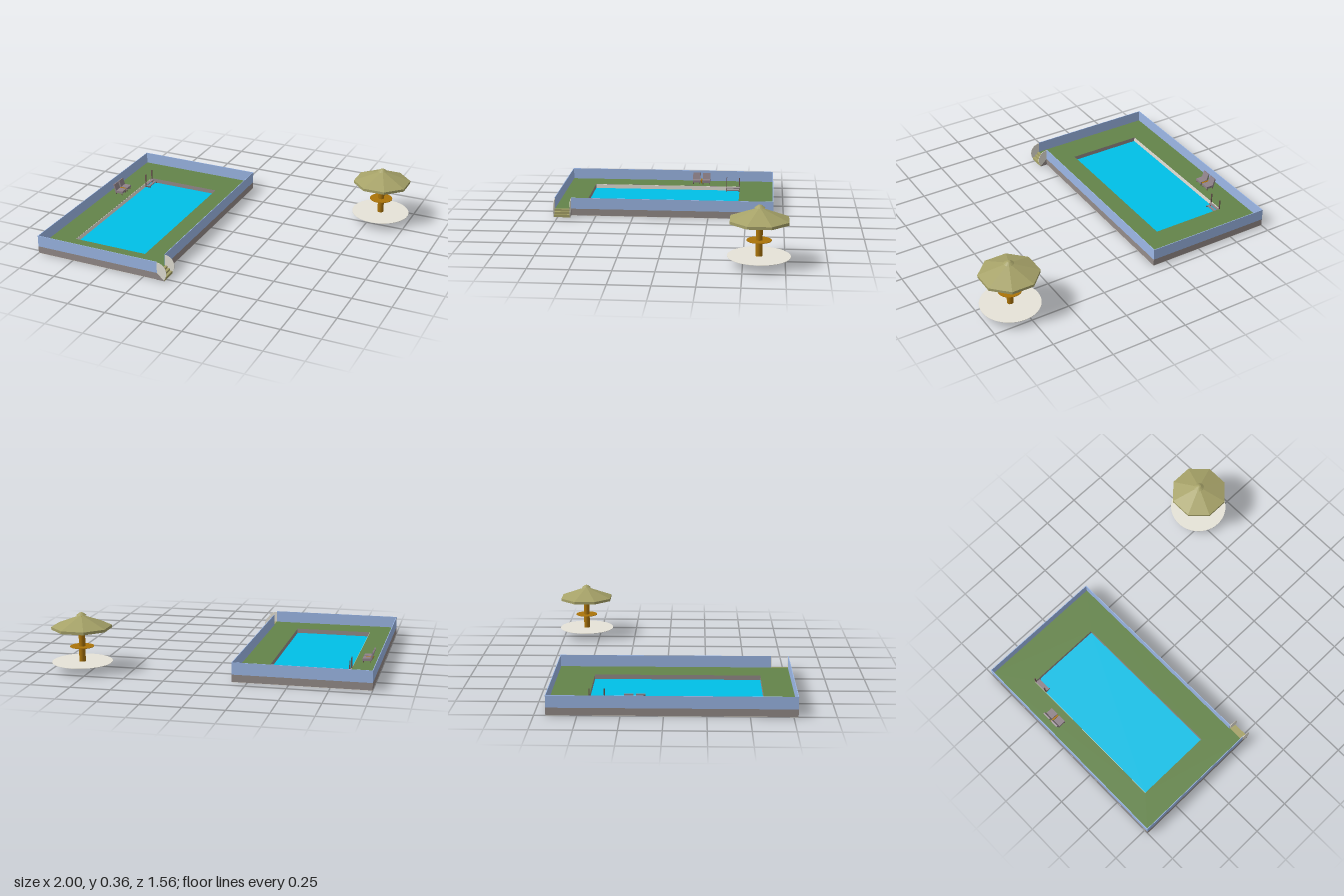
import * as THREE from 'three';

const mat = (name, color, extra = {}) => {
  const m = new THREE.MeshStandardMaterial({ color, ...extra });
  m.name = name;
  return m;
};

export function createModel() {
  const root = new THREE.Group();
  root.name = 'poolTerrace';
  const stone = mat('stone', 0x958c8a);
  const grass = mat('grass', 0x64844a);
  const water = mat('water', 0x00c0e8);
  const wallBlue = mat('wallBlue', 0x9db9e8);
  const pale = mat('paleStone', 0xe6e3d8, { side: THREE.DoubleSide });
  const olive = mat('olive', 0xa6a268, { side: THREE.DoubleSide, flatShading: true });
  const wood = mat('wood', 0xab7408);
  const seatGrey = mat('seatGrey', 0x8f8289);
  const railBrown = mat('railBrown', 0x6e5652);

  const add = (name, geo, material, parent = root) => {
    const m = new THREE.Mesh(geo, material);
    m.name = name;
    parent.add(m);
    return m;
  };
  // Box given by its limits on each axis
  const box = (name, material, [x0, x1], [y0, y1], [z0, z1], parent) => {
    const g = new THREE.BoxGeometry(x1 - x0, y1 - y0, z1 - z0);
    g.translate((x0 + x1) / 2, (y0 + y1) / 2, (z0 + z1) / 2);
    return add(name, g, material, parent);
  };

  const X0 = -1, X1 = -0.155, Z0 = -0.682, Z1 = 0.777, DECK = 0.047, TOP = 0.122;
  const PX0 = -0.838, PX1 = -0.337, PZ0 = -0.446, PZ1 = 0.589;

  // Platform: grass top with the basin cut out, stone sides, pale floor slab
  const rect = (P, x0, x1, z0, z1) => {
    const p = new P();
    p.moveTo(x0, z0); p.lineTo(x1, z0); p.lineTo(x1, z1); p.lineTo(x0, z1); p.closePath();
    return p;
  };
  const deck = rect(THREE.Shape, X0, X1, Z0, Z1);
  deck.holes.push(rect(THREE.Path, PX0, PX1, PZ0, PZ1));
  const deckGeo = new THREE.ExtrudeGeometry(deck, { depth: DECK - 0.002, bevelEnabled: false });
  deckGeo.rotateX(Math.PI / 2).translate(0, DECK, 0);
  add('lawnDeck', deckGeo, [grass, stone]);
  box('platformFloor', pale, [X0, X1], [0, 0.002], [Z0, Z1]);
  box('water', water, [PX0, PX1], [0.012, 0.018], [PZ0, PZ1]);
  box('basinLiner', pale, [PX0, PX0 + 0.002], [0.018, DECK - 0.001], [PZ0, PZ1]);

  // Boundary walls, with a gap for the entrance steps
  const T = 0.004, GATE = 0.665;
  box('rightWall', wallBlue, [X0, X0 + T], [DECK, TOP], [Z0, Z1]);
  box('leftWall', wallBlue, [X1 - T, X1], [DECK, TOP], [Z0, GATE]);
  box('frontWall', wallBlue, [X0 + T, X1], [DECK, TOP], [Z1 - T, Z1]);
  box('backWall', wallBlue, [X0 + T, X1 - T], [DECK, TOP], [Z0, Z0 + T]);

  // Entrance steps between two rounded cheeks
  const steps = new THREE.Group();
  steps.name = 'entranceSteps';
  root.add(steps);
  for (let i = 0; i < 3; i++) {
    box('step', olive, [X1 + i * 0.0165, X1 + (i + 1) * 0.0165], [0, 0.046 - i * 0.014], [GATE + 0.003, Z1 - 0.003], steps);
  }
  const cheek = new THREE.Shape();
  cheek.moveTo(X1, DECK);
  cheek.lineTo(-0.108, 0.004);
  cheek.bezierCurveTo(-0.078, 0.045, -0.088, 0.113, X1, 0.118);
  cheek.closePath();
  const foot = new THREE.Shape();
  foot.moveTo(X1, 0); foot.lineTo(-0.106, 0); foot.lineTo(-0.108, 0.004); foot.lineTo(X1, DECK); foot.closePath();
  for (const z of [GATE, Z1 - 0.003]) {
    for (const [name, shape, m] of [['stepCheek', cheek, pale], ['stepStringer', foot, stone]]) {
      const g = new THREE.ExtrudeGeometry(shape, { depth: 0.003, bevelEnabled: false, curveSegments: 16 });
      add(name, g.translate(0, 0, z), m, steps);
    }
  }

  // Pool ladder: two posts with feet, and two treads
  const ladder = new THREE.Group();
  ladder.name = 'poolLadder';
  root.add(ladder);
  for (const z of [-0.442, -0.352]) {
    box('ladderPost', railBrown, [-0.837, -0.83], [0.018, 0.112], [z - 0.003, z + 0.003], ladder);
    box('ladderFoot', railBrown, [-0.83, -0.795], [0.02, 0.026], [z - 0.003, z + 0.003], ladder);
  }
  box('upperTread', seatGrey, [-0.834, -0.818], [0.036, 0.042], [-0.442, -0.352], ladder);
  box('lowerTread', seatGrey, [-0.818, -0.802], [0.024, 0.03], [-0.442, -0.352], ladder);

  // Two lounge chairs with a small table between them
  for (const z of [-0.2025, -0.1325]) {
    const chair = new THREE.Group();
    chair.name = 'chair';
    chair.position.set(-0.92, DECK, z);
    root.add(chair);
    box('seat', seatGrey, [-0.02, 0.035], [0.012, 0.028], [-0.027, 0.027], chair);
    const back = box('backrest', seatGrey, [-0.005, 0.005], [0, 0.052], [-0.027, 0.027], chair);
    back.position.set(-0.015, 0.02, 0);
    back.rotation.z = 0.3;
    for (const x of [-0.018, 0.028]) for (const s of [-0.025, 0.02]) {
      box('chairLeg', railBrown, [x, x + 0.005], [0, 0.012], [s, s + 0.005], chair);
    }
  }
  box('sideTableTop', wood, [-0.95, -0.89], [0.07, 0.074], [-0.173, -0.162]);
  box('sideTableLeg', wood, [-0.923, -0.917], [DECK, 0.07], [-0.17, -0.165]);

  // Parasol with round table, standing on a thin disc
  const parasol = new THREE.Group();
  parasol.name = 'parasol';
  parasol.position.set(0.812, 0, -0.595);
  root.add(parasol);
  const disc = (name, m, r, y0, y1, n = 32) =>
    add(name, new THREE.CylinderGeometry(r, r, y1 - y0, n).translate(0, (y0 + y1) / 2, 0), m, parasol);
  disc('groundDisc', pale, 0.187, 0.051, 0.053, 48);
  disc('post', wood, 0.02, 0.048, 0.335, 20);
  disc('tableTop', wood, 0.074, 0.147, 0.15);
  const lathe = (name, pts, n) => {
    const g = new THREE.LatheGeometry(pts.map(p => new THREE.Vector2(...p)), n, Math.PI / 8);
    return add(name, g, olive, parasol);
  };
  lathe('canopy', [[0.186, 0.26], [0.186, 0.277], [0.018, 0.341]], 8);
  lathe('canopyCap', [[0, 0.343], [0.032, 0.345], [0.012, 0.36], [0, 0.363]], 16);
  // Ribs beneath the canopy folds
  for (let i = 0; i < 8; i++) {
    const a = Math.PI / 8 + i * Math.PI / 4;
    const at = (r, y) => new THREE.Vector3(Math.sin(a) * r, y, Math.cos(a) * r);
    const path = new THREE.LineCurve3(at(0.018, 0.337), at(0.18, 0.273));
    add('canopyRib', new THREE.TubeGeometry(path, 1, 0.0025, 5), wood, parasol);
  }
  return root;
}
